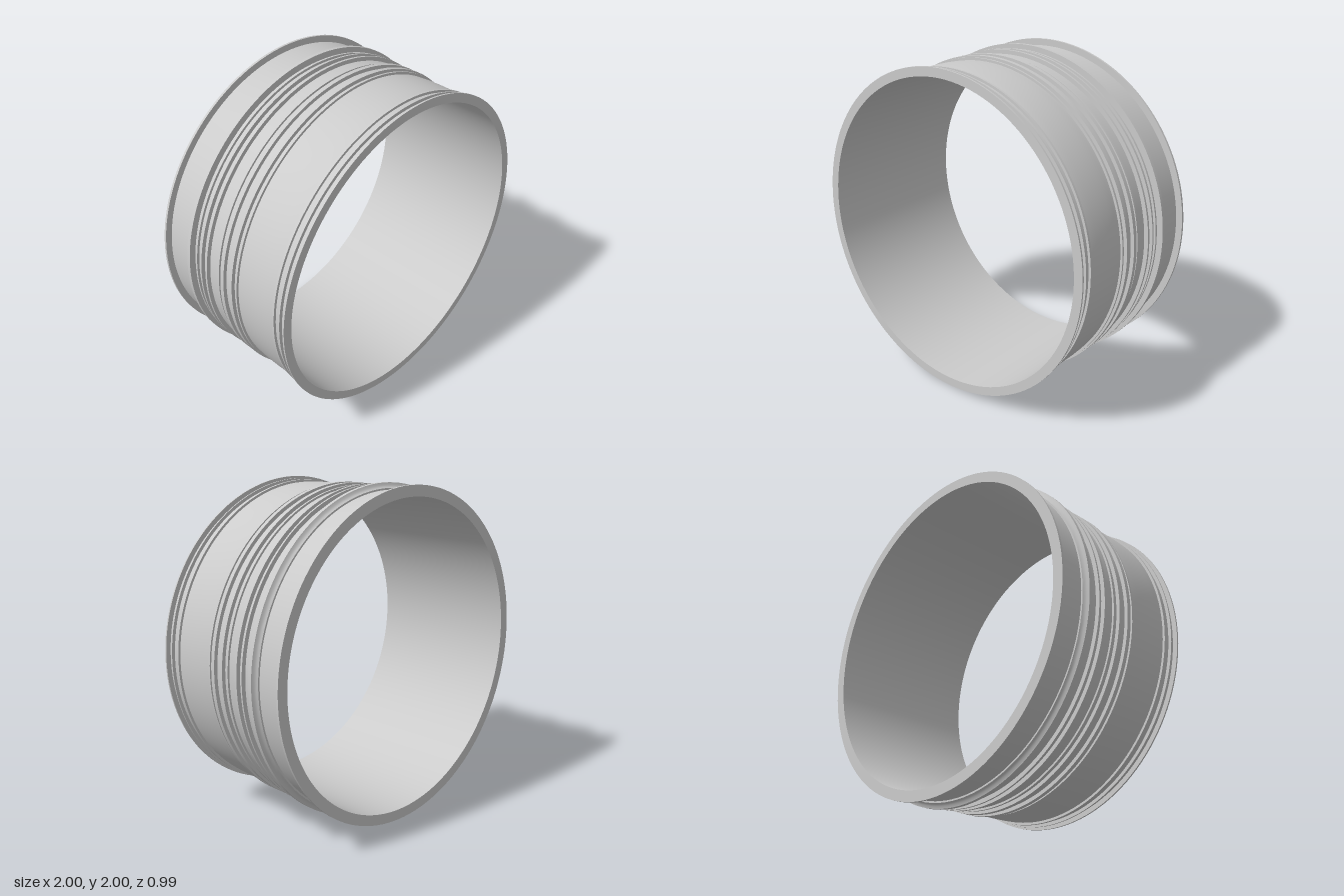
import * as THREE from 'three';
import { toCreasedNormals } from 'three/addons/utils/BufferGeometryUtils.js';

const SEGMENTS = 128;
const INNER = 0.935; // bore radius
const OUTER = 0.96;  // barrel radius
const END = 0.495;   // half length along z

// Revolve a closed [radius, z] section around the z axis
// (outer side listed from back to front, then the inner side back again).
function revolve(name, section, material) {
  const points = [...section, section[0]].map(([r, z]) => new THREE.Vector2(r, z));
  const lathe = new THREE.LatheGeometry(points, SEGMENTS).rotateX(Math.PI / 2);
  const mesh = new THREE.Mesh(toCreasedNormals(lathe, 0.4), material);
  mesh.name = name;
  return mesh;
}

export function createModel() {
  const model = new THREE.Group();
  model.name = 'ribbedRing';
  const material = new THREE.MeshStandardMaterial({ color: 0xcccccc });
  const ring = new THREE.Group();
  ring.position.y = 1;
  model.add(ring);

  // Thin barrel with a shallow swelling towards the front
  ring.add(revolve('barrel', [
    [OUTER, -END], [OUTER, 0.1], [0.963, 0.13], [0.966, 0.18], [0.967, 0.25],
    [0.966, 0.32], [0.963, 0.37], [OUTER, 0.395], [OUTER, END],
    [INNER, END], [INNER, -END],
  ], material));

  // Square-edged flanges and ribs: name, back z, front z, radius
  const bands = [
    ['frontFlange', 0.485, END, 0.99],
    ['frontRib', 0.442, 0.45, 0.98],
    ['frontRib', 0.388, 0.402, 0.975],
    ['middleRib', 0.095, 0.106, 0.975],
    ['middleRib', 0.047, 0.073, 0.982],
    ['middleRib', -0.022, 0.004, 0.982],
    ['middleRib', -0.058, -0.046, 0.972],
    ['rearRib', -0.148, -0.134, 0.985],
    ['rearRib', -0.192, -0.181, 0.985],
    ['rearRib', -0.243, -0.231, 0.975],
    ['rearFlange', -END, -0.481, 1],
  ];
  const root = 0.945; // bands are rooted inside the barrel wall
  for (const [name, back, front, radius] of bands) {
    ring.add(revolve(name, [[radius, back], [radius, front], [root, front], [root, back]], material));
  }

  // Tall collar with a sloped shoulder on its rear side
  ring.add(revolve('collar', [
    [0.97, -0.308], [0.975, -0.3], [0.985, -0.292], [1, -0.287],
    [1, -0.265], [root, -0.265], [root, -0.308],
  ], material));

  return model;
}
